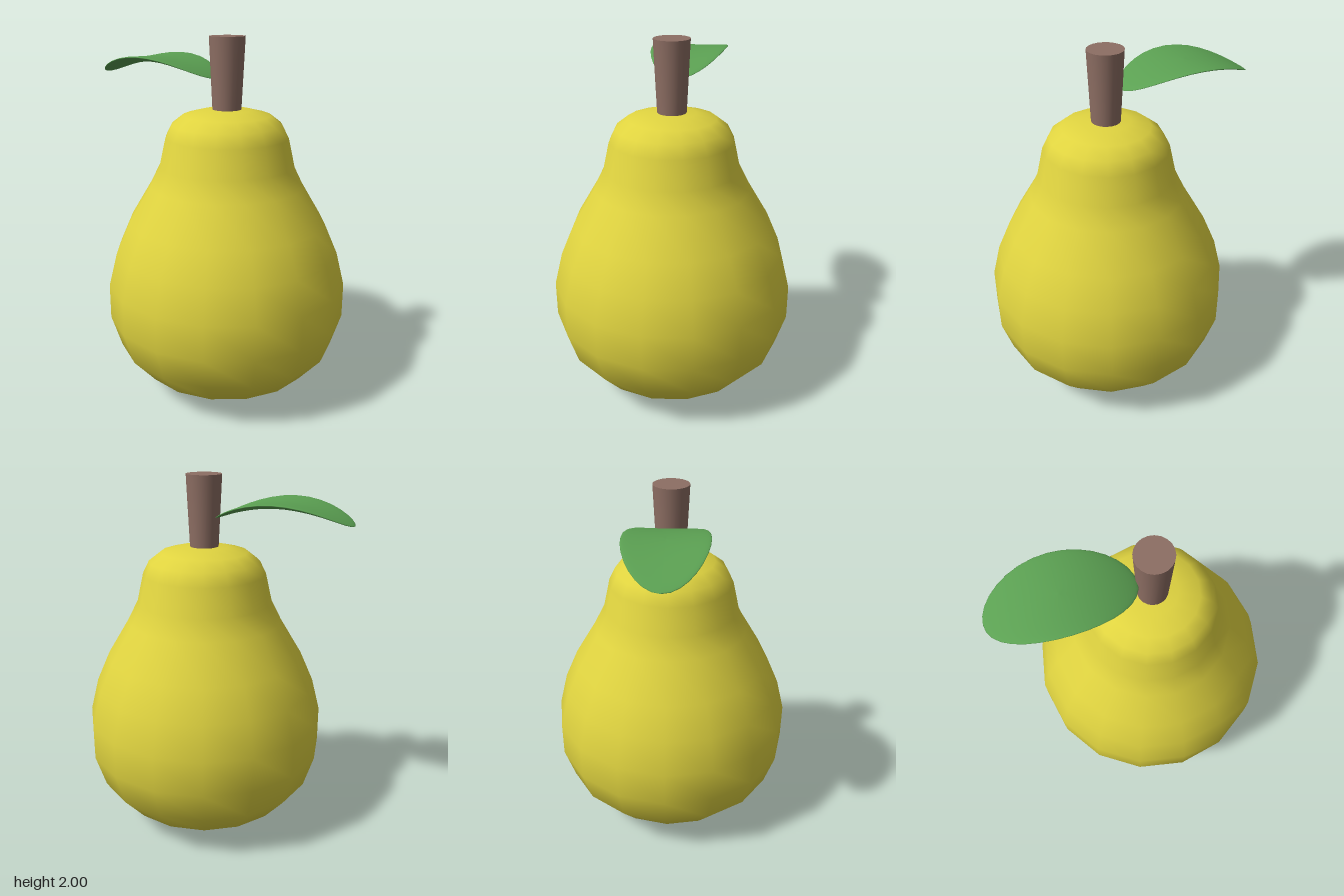
import * as THREE from 'three';

const CORE_X = 0.072; // shared axis of fruit and stem

function flat(name, color) {
  const material = new THREE.MeshStandardMaterial({ color });
  material.name = name;
  return material;
}

export function createModel() {
  const model = new THREE.Group();
  model.name = 'pear';

  const yellow = flat('pearYellow', 0xe0d440);
  const brown = flat('stemBrown', 0x8d6e63);
  const green = flat('leafGreen', 0x5ba052);

  const add = (name, geometry, material) => {
    const mesh = new THREE.Mesh(geometry, material);
    mesh.name = name;
    model.add(mesh);
    return mesh;
  };

  // Fruit: sixteen-sided lathe, smooth shaded
  const profile = [
    [0, 0.005], [0.27, 0.035], [0.488, 0.125], [0.615, 0.27],
    [0.672, 0.45], [0.672, 0.645], [0.625, 0.83], [0.55, 1.0],
    [0.43, 1.2], [0.375, 1.31], [0.34, 1.465], [0.305, 1.535],
    [0.24, 1.585], [0.13, 1.613], [0, 1.62],
  ].map(([r, y]) => new THREE.Vector2(r, y));
  const fruit = add('fruit', new THREE.LatheGeometry(profile, 16), yellow);
  fruit.position.x = CORE_X;

  // Stem: widens towards the top
  const stem = add('stem', new THREE.CylinderGeometry(0.097, 0.076, 0.44, 20), brown);
  stem.position.set(CORE_X, 1.78, 0);

  // Leaf: thin ellipsoid, arched along its length and cupped across its width
  const leafShape = new THREE.SphereGeometry(1, 32, 24);
  const p = leafShape.attributes.position;
  for (let i = 0; i < p.count; i++) {
    const x = p.getX(i), y = p.getY(i), z = p.getZ(i);
    p.setXYZ(i, x * 0.37, 0.016 * y - 0.088 * x * x + 0.02 * z * z, z * 0.212);
  }
  leafShape.computeVertexNormals();
  const leaf = add('leaf', leafShape, green);
  leaf.position.set(-0.376, 1.863, 0);

  return model;
}
